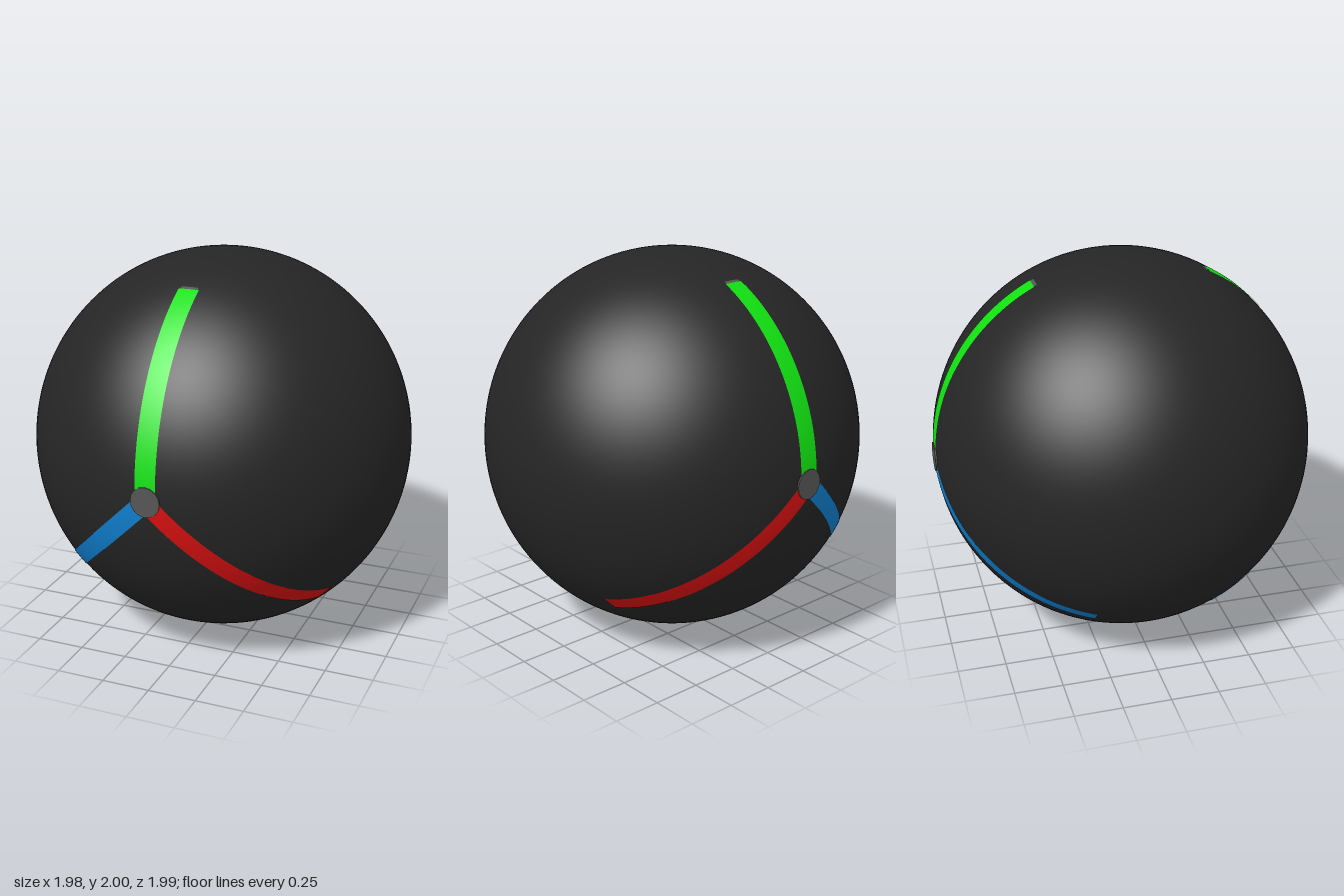
import * as THREE from 'three';

const mat = (name, color) => {
  const m = new THREE.MeshStandardMaterial({ color });
  m.name = name;
  return m;
};

// Band that hugs a sphere, running from the pole (0, 0, side) towards an angle in the xy plane
function bandGeometry(side, angle, from, to, halfWidth, radius) {
  const pole = new THREE.Vector3(0, 0, side);
  const along = new THREE.Vector3(Math.cos(angle), Math.sin(angle), 0);
  const across = new THREE.Vector3().crossVectors(pole, along);
  const steps = 40, cols = 4, pos = [], nor = [], idx = [];
  for (let i = 0; i <= steps; i++) {
    const t = from + (to - from) * i / steps;
    for (let j = 0; j <= cols; j++) {
      const s = halfWidth * (2 * j / cols - 1);
      const r = Math.sqrt(radius * radius - s * s);
      const p = new THREE.Vector3()
        .addScaledVector(pole, r * Math.cos(t))
        .addScaledVector(along, r * Math.sin(t))
        .addScaledVector(across, s);
      pos.push(p.x, p.y, p.z);
      p.normalize();
      nor.push(p.x, p.y, p.z);
      if (i < steps && j < cols) {
        const a = i * (cols + 1) + j, b = a + cols + 1;
        idx.push(a, b, b + 1, a, b + 1, a + 1);
      }
    }
  }
  const g = new THREE.BufferGeometry();
  g.setAttribute('position', new THREE.Float32BufferAttribute(pos, 3));
  g.setAttribute('normal', new THREE.Float32BufferAttribute(nor, 3));
  g.setIndex(idx);
  return g;
}

export function createModel() {
  const black = mat('black', 0x252525);
  const grey = mat('grey', 0x555555);
  const green = mat('green', 0x11e011);
  const red = mat('red', 0xd81010);
  const blue = mat('blue', 0x1080d0);

  const group = new THREE.Group();
  const ball = new THREE.Group();
  ball.name = 'ball';
  ball.position.y = 1;
  ball.scale.set(0.99, 1, 0.99);
  group.add(ball);
  const add = (name, geometry, material) => {
    const mesh = new THREE.Mesh(geometry, material);
    mesh.name = name;
    ball.add(mesh);
    return mesh;
  };

  add('shell', new THREE.SphereGeometry(1, 128, 80), black);

  // The same three-armed marking on the front and the back
  const low = THREE.MathUtils.degToRad(44);
  for (const side of [1, -1]) {
    const label = side > 0 ? 'front' : 'back';
    add(label + 'UpperBand', bandGeometry(side, Math.PI / 2, 0, 1.097, 0.053, 1.003), green);
    add(label + 'UpperBandTip', bandGeometry(side, Math.PI / 2, 1.097, 1.115, 0.045, 1.002), grey);
    add(label + 'LeftBand', bandGeometry(side, -low, 0, 1.258, 0.047, 1.003), red);
    add(label + 'RightBand', bandGeometry(side, Math.PI + low, 0, 1.258, 0.047, 1.003), blue);

    // Flat hub disc where the bands meet
    const hub = add(label + 'Hub', new THREE.CylinderGeometry(0.076, 0.076, 0.03, 16), grey);
    hub.rotation.x = side * Math.PI / 2;
    hub.position.z = side * 0.99;
  }
  return group;
}
